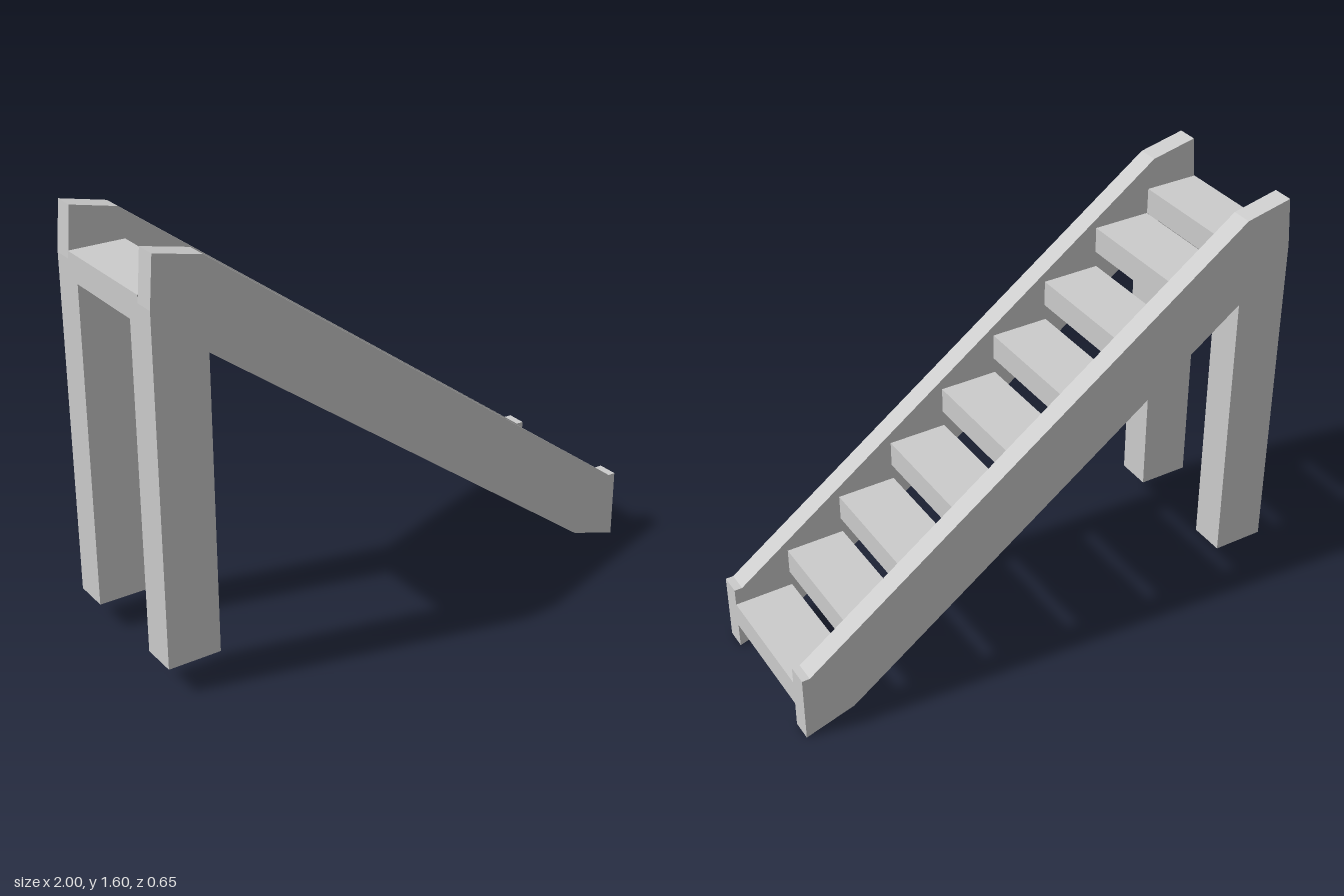
import * as THREE from 'three';

const material = new THREE.MeshStandardMaterial({ color: 0xcccccc, flatShading: true });

function addBox(group, name, [x0, x1], [y0, y1], [z0, z1]) {
  const mesh = new THREE.Mesh(new THREE.BoxGeometry(x1 - x0, y1 - y0, z1 - z0), material);
  mesh.position.set((x0 + x1) / 2, (y0 + y1) / 2, (z0 + z1) / 2);
  mesh.name = name;
  group.add(mesh);
}

export function createModel() {
  const group = new THREE.Group();
  group.name = 'staircase';
  const inner = 0.243, outer = 0.323, legInner = 0.184;

  // Side board outline, with cut-off ends
  const outline = [
    [1, 0], [1, 0.267], [0.97, 0.267], [-0.807, 1.556], [-0.985, 1.595],
    [-1, 1.41], [-1, 1.373], [-0.797, 1.222], [0.807, 0.06],
  ].map(([x, y]) => new THREE.Vector2(x, y));
  const boardGeometry = new THREE.ExtrudeGeometry(new THREE.Shape(outline), {
    depth: outer - inner, bevelEnabled: false,
  });

  for (const side of [1, -1]) {
    const label = side > 0 ? 'front' : 'back';
    const board = new THREE.Mesh(boardGeometry, material);
    board.name = label + 'Stringer';
    board.position.z = side > 0 ? inner : -outer;
    group.add(board);

    // Legs, thicker than the boards and reaching under the top step
    const z = side > 0 ? [legInner, outer] : [-outer, -legInner];
    addBox(group, label + 'Leg', [-1, -0.797], [0.106, 1.38], z);
  }

  // Open treads, evenly spaced up the slope
  const rise = 0.1625, run = 0.2225, thickness = 0.1;
  for (let i = 0; i < 8; i++) {
    const front = 1 - run * i, top = 0.2 + rise * i;
    addBox(group, 'tread' + (i + 1), [front - 0.228, front], [top - thickness, top], [-inner, inner]);
  }
  addBox(group, 'topTread', [-1, -0.787], [1.338, 1.438], [-inner, inner]);

  return group;
}
